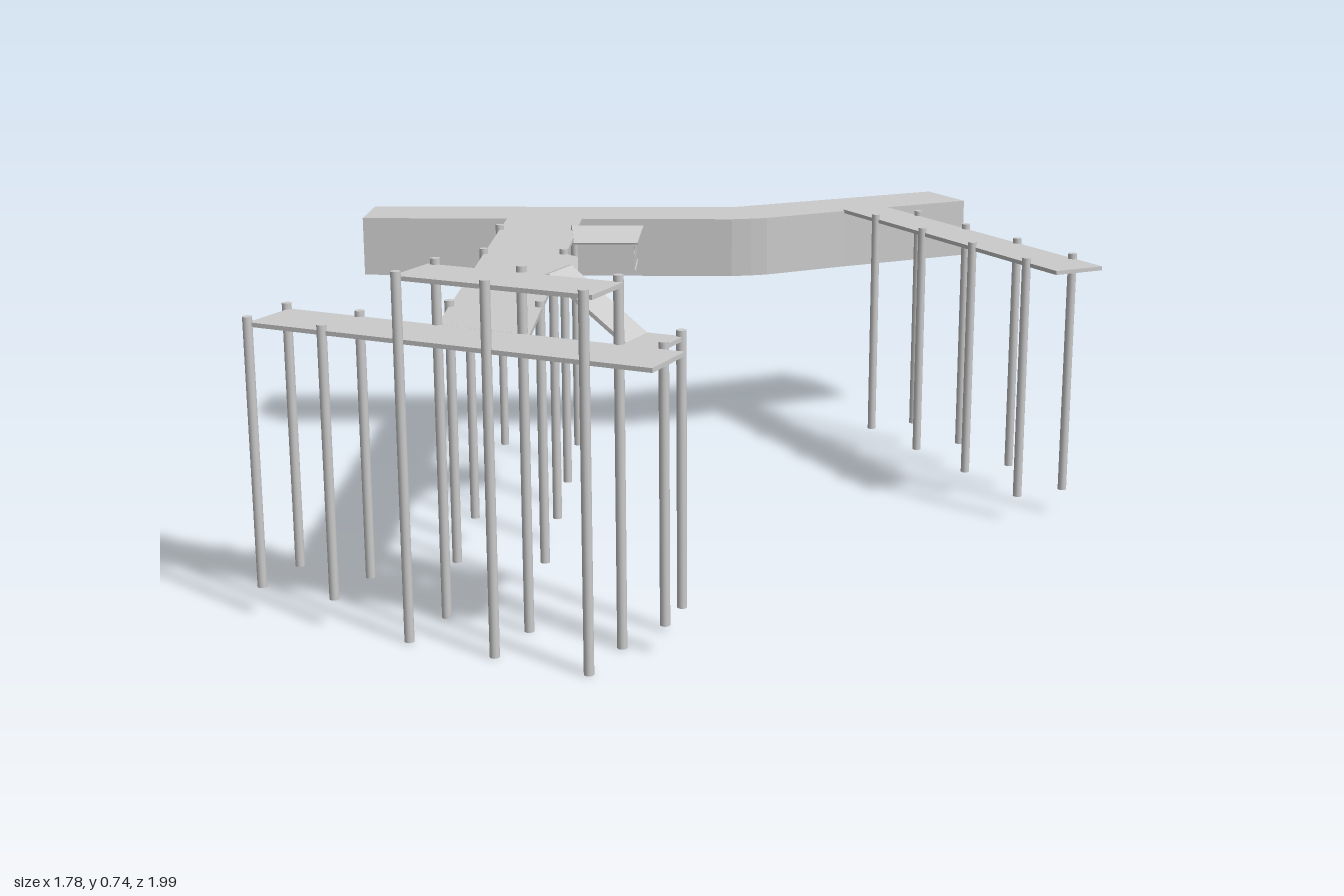
import * as THREE from 'three';

const material = new THREE.MeshStandardMaterial({ color: 0xcccccc, flatShading: true, side: THREE.DoubleSide });
const postMaterial = new THREE.MeshStandardMaterial({ color: 0xcccccc });

function addMesh(parent, name, geometry, mat = material) {
  const mesh = new THREE.Mesh(geometry, mat);
  mesh.name = name;
  parent.add(mesh);
  return mesh;
}

// Horizontal slab from an outline of [x, z] points, between two heights
function slab(parent, name, outline, bottom, top) {
  const shape = new THREE.Shape(outline.map(([x, z]) => new THREE.Vector2(x, -z)));
  const geometry = new THREE.ExtrudeGeometry(shape, { depth: top - bottom, bevelEnabled: false });
  geometry.rotateX(-Math.PI / 2).translate(0, bottom, 0);
  return addMesh(parent, name, geometry);
}

const rect = (x0, x1, z0, z1) => [[x0, z0], [x0, z1], [x1, z1], [x1, z0]];

function posts(parent, name, places, bottom, top) {
  const geometry = new THREE.CylinderGeometry(0.01, 0.01, top - bottom, 12);
  for (const [x, z] of places) {
    addMesh(parent, name, geometry, postMaterial).position.set(x, (top + bottom) / 2, z);
  }
}

// Gabled hut, with its ridge running along x
function createHut() {
  const hut = new THREE.Group();
  hut.name = 'hut';
  const half = 0.06, eave = 0.067, ridge = 0.087, wall = 0.004, length = 0.125;

  const gable = (opening) => {
    const shape = new THREE.Shape([
      [-half, 0], [half, 0], [half, eave], [0, ridge], [-half, eave],
    ].map((p) => new THREE.Vector2(...p)));
    shape.holes.push(opening);
    return new THREE.ExtrudeGeometry(shape, { depth: wall, bevelEnabled: false }).rotateY(Math.PI / 2);
  };
  // In the gable outline, negative is towards +z
  const porthole = new THREE.Path().absarc(-0.042, 0.043, 0.009, 0, Math.PI * 2, true);
  const door = new THREE.Path([
    [-0.052, 0.003], [-0.052, 0.054], [-0.02, 0.054], [-0.02, 0.003],
  ].map((p) => new THREE.Vector2(...p)));
  addMesh(hut, 'windowGable', gable(porthole)).position.x = length / 2 - wall;
  addMesh(hut, 'doorGable', gable(door)).position.x = -length / 2;

  for (const side of [-1, 1]) {
    addMesh(hut, 'sideWall', new THREE.BoxGeometry(length, eave, wall))
      .position.set(0, eave / 2, side * (half - wall / 2));
    // Roof slope with the ridge overhanging a little beyond the eaves
    const slope = new THREE.Shape();
    slope.moveTo(-0.08, 0).lineTo(0.08, 0).lineTo(0.07, 0.077).lineTo(-0.07, 0.077);
    const geometry = new THREE.ExtrudeGeometry(slope, { depth: 0.004, bevelEnabled: false });
    geometry.rotateX(Math.PI / 2 + 0.34);
    if (side < 0) geometry.rotateY(Math.PI);
    addMesh(hut, 'roofSlope', geometry).position.y = ridge + 0.004;
  }
  return hut;
}

export function createModel() {
  const model = new THREE.Group();
  model.name = 'pierComplex';
  const low = 0.601, deck = 0.61, upperLow = 0.721, upper = 0.73;

  // Solid quay with a bend
  slab(model, 'quay', [
    [-0.88, -0.727], [-0.88, -0.55], [0.06, -0.55], [0.11, -0.56], [0.15, -0.572],
    [0.35, -0.68], [0.68, -0.847], [0.60, -1.0], [0.06, -0.733],
  ], 0.46, 0.607);

  // Main pier and the walkway to the hut
  slab(model, 'mainPier', [[-0.51, -0.56], [-0.51, 0.658], [-0.32, 0.74], [-0.32, -0.56]], low, deck);
  slab(model, 'hutWalkway', [
    [-0.32, -0.07], [-0.32, 0.2], [-0.28, 0.12], [-0.15, 0.118], [-0.15, -0.004], [-0.28, -0.02],
  ], low, deck);
  const hut = createHut();
  hut.position.set(-0.215, 0.608, 0.057);
  model.add(hut);

  const mainPosts = [];
  for (const z of [-0.38, -0.07, 0.2, 0.49]) mainPosts.push([-0.51, z], [-0.325, z]);
  posts(model, 'mainPierPost', mainPosts, 0.06, 0.622);

  // Slanting side pier
  slab(model, 'sidePier', [[0.35, -0.685], [0.78, 0.11], [0.89, 0.055], [0.455, -0.745]], low, deck);
  const sidePosts = [];
  for (let i = 0; i < 4; i++) {
    const x = 0.425 + 0.1005 * i, z = -0.545 + 0.188 * i;
    sidePosts.push([x, z], [x + 0.112, z - 0.054]);
  }
  posts(model, 'sidePierPost', sidePosts, 0.06, 0.622);

  // Two-level pier head, turned against the main pier
  const head = new THREE.Group();
  head.name = 'pierHead';
  head.position.set(-0.83, 0, 0.52);
  head.rotation.y = -0.408;
  model.add(head);
  slab(head, 'lowerPlatform', rect(0, 0.882, 0, 0.136), low, deck);
  slab(head, 'landing', rect(0.748, 0.828, -0.11, 0.001), low, deck);
  slab(head, 'upperPlatform', [
    [0.332, 0], [0.332, 0.125], [0.757, 0.125], [0.757, 0],
    [0.588, 0], [0.588, -0.108], [0.49, -0.108], [0.49, 0],
  ], upperLow, upper);

  // Ramp between the two levels
  const run = 0.165, drop = upper - deck;
  const ramp = addMesh(head, 'ramp', new THREE.BoxGeometry(Math.hypot(run, drop), 0.008, 0.092));
  ramp.position.set(0.587 + run / 2, (upper + deck) / 2 - 0.005, -0.064);
  ramp.rotation.z = -Math.atan2(drop, run);

  posts(model, 'lowerHeadPost', [
    [-0.885, 0.645], [-0.835, 0.52], [-0.725, 0.712], [-0.675, 0.587], [-0.06, 0.84], [-0.03, 0.745],
  ], 0.06, 0.622);
  posts(model, 'upperHeadPost', [
    [-0.565, 0.785], [-0.51, 0.655], [-0.388, 0.86], [-0.335, 0.727], [-0.2, 0.942], [-0.145, 0.81],
  ], 0, 0.742);

  return model;
}
